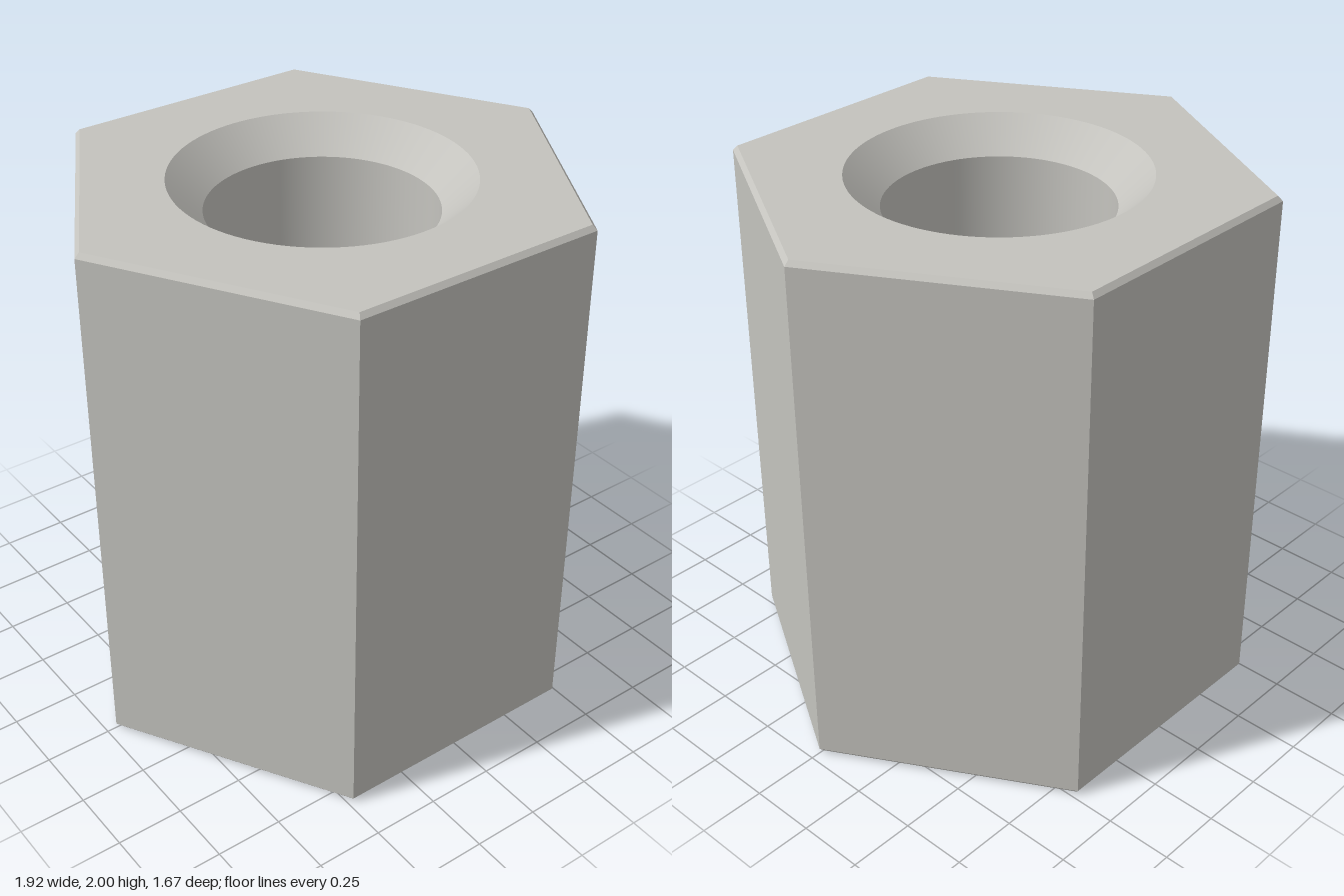
import * as THREE from 'three';

const HEIGHT = 2;
const HEX_R = 0.962;      // corner radius of the hexagon
const BEVEL = 0.018;      // outer edge bevel
const BORE_R = 0.41;
const SINK_R = 0.533;     // countersink mouth
const SINK_D = 0.123;     // countersink depth
const ROUND = 96;

export function createModel() {
  const group = new THREE.Group();
  group.name = 'hexSpacer';

  const metal = new THREE.MeshStandardMaterial({ color: 0xc4c3be });
  metal.name = 'light grey metal';

  const add = (name, geometry) => {
    const mesh = new THREE.Mesh(geometry, metal);
    mesh.name = name;
    group.add(mesh);
  };
  const lathe = (points, segments) =>
    new THREE.LatheGeometry(points.map(([r, y]) => new THREE.Vector2(r, y)), segments);

  // Six-sided outer body with small bevels, flat faces, corners on the x axis
  const capR = HEX_R - BEVEL;
  const body = lathe(
    [[capR, 0], [HEX_R, BEVEL], [HEX_R, HEIGHT - BEVEL], [capR, HEIGHT]], 6
  ).toNonIndexed();
  body.rotateY(Math.PI / 6);
  body.computeVertexNormals();
  add('hexBody', body);

  // Hexagonal end faces with a round opening
  const face = new THREE.Shape();
  for (let i = 0; i < 6; i++) {
    const a = (i * Math.PI) / 3;
    const x = capR * Math.cos(a), y = capR * Math.sin(a);
    if (i === 0) face.moveTo(x, y);
    else face.lineTo(x, y);
  }
  face.closePath();
  face.holes.push(new THREE.Path().absarc(0, 0, SINK_R, 0, Math.PI * 2, true));
  add('topFace', new THREE.ShapeGeometry(face, ROUND / 2).rotateX(-Math.PI / 2).translate(0, HEIGHT, 0));
  add('bottomFace', new THREE.ShapeGeometry(face, ROUND / 2).rotateX(Math.PI / 2));

  // Inner surfaces run from top to bottom so that they face the axis
  add('topCountersink', lathe([[SINK_R, HEIGHT], [BORE_R, HEIGHT - SINK_D]], ROUND));
  add('bore', lathe([[BORE_R, HEIGHT - SINK_D], [BORE_R, SINK_D]], ROUND));
  add('bottomCountersink', lathe([[BORE_R, SINK_D], [SINK_R, 0]], ROUND));

  return group;
}
